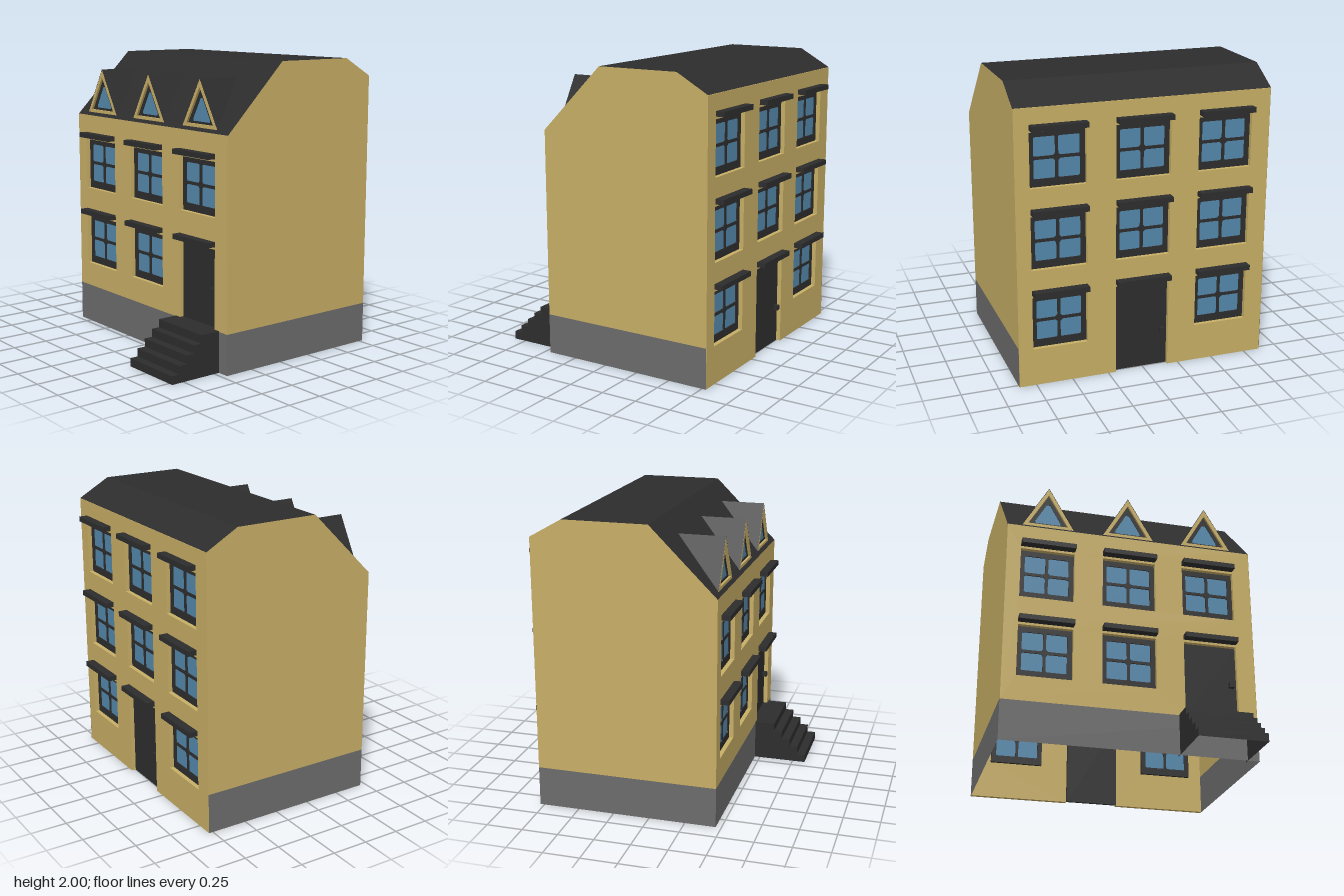
import * as THREE from 'three';

const mat = (name, color) => {
  const m = new THREE.MeshStandardMaterial({ color, side: THREE.DoubleSide });
  m.name = name;
  return m;
};

export function createModel() {
  const yellow = mat('ochre wall', 0xc7ae66);
  const grey = mat('grey plinth', 0x6c6c6c);
  const dark = mat('charcoal', 0x2d2d2d);
  const blue = mat('window glass', 0x5488ab);

  const W = 0.867, FRONT = 0.462, BACK = -0.78, PLINTH = 0.275;
  const columns = [-0.582, -0.013, 0.553];
  const HALF = 0.186, WIN_H = 0.362;
  const house = new THREE.Group();
  house.name = 'townHouse';

  const add = (parent, name, geometry, material, x = 0, y = 0, z = 0) => {
    const mesh = new THREE.Mesh(geometry, material);
    mesh.name = name;
    mesh.position.set(x, y, z);
    parent.add(mesh);
    return mesh;
  };
  const shapeOf = (pts) => new THREE.Shape(pts.map(([x, y]) => new THREE.Vector2(x, y)));
  const rect = (x0, y0, x1, y1) => [[x0, y0], [x1, y0], [x1, y1], [x0, y1]];
  const extrude = (shape, depth) => new THREE.ExtrudeGeometry(shape, { depth, bevelEnabled: false });
  const box = (w, h, d) => new THREE.BoxGeometry(w, h, d);

  // Sheet swept along x through (z, y) points running from front to back
  const ribbon = (pts, x0, x1) => {
    const v = [];
    for (let i = 0; i + 1 < pts.length; i++) {
      const [z0, y0] = pts[i], [z1, y1] = pts[i + 1];
      v.push(x0, y0, z0, x1, y0, z0, x1, y1, z1, x0, y0, z0, x1, y1, z1, x0, y1, z1);
    }
    return fromTriangles(v);
  };
  const fromTriangles = (v) => {
    const g = new THREE.BufferGeometry();
    g.setAttribute('position', new THREE.Float32BufferAttribute(v, 3));
    g.computeVertexNormals();
    return g;
  };
  // Flat plate in the z-y plane, facing +x or -x
  const sidePlate = (pts, dir) =>
    new THREE.ShapeGeometry(shapeOf(pts.map(([z, y]) => [-dir * z, y]))).rotateY(dir * Math.PI / 2);

  // Four-light window: barred frame and glass, origin at bottom centre
  const makeWindow = () => {
    const g = new THREE.Group();
    g.name = 'window';
    const frame = shapeOf(rect(-HALF, 0, HALF, WIN_H));
    const c = 0.014;
    for (const sx of [-1, 1]) for (const sy of [-1, 1]) {
      const pane = [[0.01, 0.01 + c], [0.01 + c, 0.01], [0.152 - c / 2, 0.01], [0.152, 0.01 + c / 2],
        [0.152, 0.136 - c / 2], [0.152 - c / 2, 0.136], [0.01 + c / 2, 0.136], [0.01, 0.136 - c / 2]];
      frame.holes.push(new THREE.Path(pane.map(([x, y]) => new THREE.Vector2(sx * x, WIN_H / 2 + 0.006 + sy * y))));
    }
    add(g, 'windowFrame', extrude(frame, 0.02), dark, 0, 0, -0.05);
    add(g, 'windowGlass', box(HALF * 2 - 0.02, WIN_H - 0.02, 0.006), blue, 0, WIN_H / 2, -0.04);
    return g;
  };

  // One facade with openings, windows, lintels and a door, facing local +z
  const makeFacade = (name, bottom, top, lintels, doorColumn) => {
    const g = new THREE.Group();
    g.name = name;
    const dx = columns[doorColumn], doorTop = lintels[0] - 0.034, w = W - 0.002;
    const wall = shapeOf([[-w, bottom], [dx - HALF, bottom], [dx - HALF, doorTop], [dx + HALF, doorTop],
      [dx + HALF, bottom], [w, bottom], [w, top], [-w, top]]);
    lintels.forEach((ly, row) => columns.forEach((x, col) => {
      add(g, 'lintel', box(0.372, 0.034, 0.06), dark, x, ly, 0.03);
      if (row === 0 && col === doorColumn) return;
      const y1 = ly - 0.034, y0 = y1 - WIN_H;
      wall.holes.push(new THREE.Path(rect(x - HALF, y0, x + HALF, y1).map(([a, b]) => new THREE.Vector2(a, b))));
      const win = makeWindow();
      win.position.set(x, y0, 0);
      g.add(win);
    }));
    add(g, 'wall', extrude(wall, 0.03), yellow, 0, 0, -0.03);
    add(g, 'door', box(HALF * 2, doorTop - bottom, 0.02), dark, dx, (doorTop + bottom) / 2, -0.04);
    add(g, 'doorKnob', box(0.034, 0.034, 0.03), dark, dx + 0.148, bottom + 0.255, -0.015);
    house.add(g);
    return g;
  };
  makeFacade('frontFacade', PLINTH, 1.555, [0.843, 1.411], 2).position.z = FRONT;
  const back = makeFacade('backFacade', 0.001, 1.873, [0.655, 1.204, 1.75], 1);
  back.position.z = BACK;
  back.rotation.y = Math.PI;

  // Side walls and plinth
  const roofLine = [[FRONT, 1.555], [0.015, 2], [-0.56, 2], [BACK, 1.875]];
  for (const dir of [-1, 1]) {
    add(house, 'gableWall', sidePlate([[FRONT, PLINTH], ...roofLine, [BACK, PLINTH]], dir), yellow, dir * W);
    add(house, 'sidePlinth', sidePlate(rect(BACK, 0, FRONT, PLINTH), dir), grey, dir * W);
  }
  add(house, 'frontPlinth', ribbon([[FRONT, 0], [FRONT, PLINTH]], -W, W), grey);

  // Roof
  add(house, 'roof', ribbon(roofLine, -W, W), dark);

  // Triangular dormers
  const tri = (half, y0) => [[-half, y0], [half, y0], [0, y0 + half * 1.72]];
  const ring = (outer, inner) => {
    const s = shapeOf(outer);
    s.holes.push(new THREE.Path(inner.map(([x, y]) => new THREE.Vector2(x, y))));
    return s;
  };
  const glassHole = [[-0.085, 1.612], [0.085, 1.612], [0.09, 1.628], [0.012, 1.765], [-0.012, 1.765], [-0.09, 1.628]];
  for (const x of columns) {
    const d = new THREE.Group();
    d.name = 'dormer';
    d.position.x = x;
    const h = 0.183, y0 = 1.575, y1 = 1.891, z0 = 0.441, z1 = 0.126;
    add(d, 'dormerRoof', fromTriangles([-h, y0, z0, 0, y1, z0, 0, y1, z1, h, y0, z0, 0, y1, z1, 0, y1, z0]), dark);
    add(d, 'dormerTrim', extrude(ring(tri(0.18, 1.576), tri(0.139, 1.597)), 0.021), yellow, 0, 0, 0.42);
    add(d, 'dormerFrame', extrude(ring(tri(0.141, 1.596), glassHole), 0.006), dark, 0, 0, 0.419);
    add(d, 'dormerGlass', new THREE.ShapeGeometry(shapeOf(tri(0.11, 1.605))), blue, 0, 0, 0.421);
    house.add(d);
  }

  // Hollow front steps
  const steps = new THREE.Group();
  steps.name = 'frontSteps';
  const profile = [[0.84, 0]];
  for (let i = 0; i < 5; i++) {
    const z = 0.84 - i * 0.059, y = (i + 1) * 0.056;
    profile.push([z, y], [i < 4 ? z - 0.059 : 0.425, y]);
  }
  add(steps, 'treads', ribbon(profile, 0.322, 0.785), dark);
  add(steps, 'leftStringer', sidePlate([...profile, [0.425, 0]], 1), dark, 0.785);
  add(steps, 'rightStringer', sidePlate([...profile, [0.425, 0]], -1), dark, 0.322);
  house.add(steps);

  return house;
}
